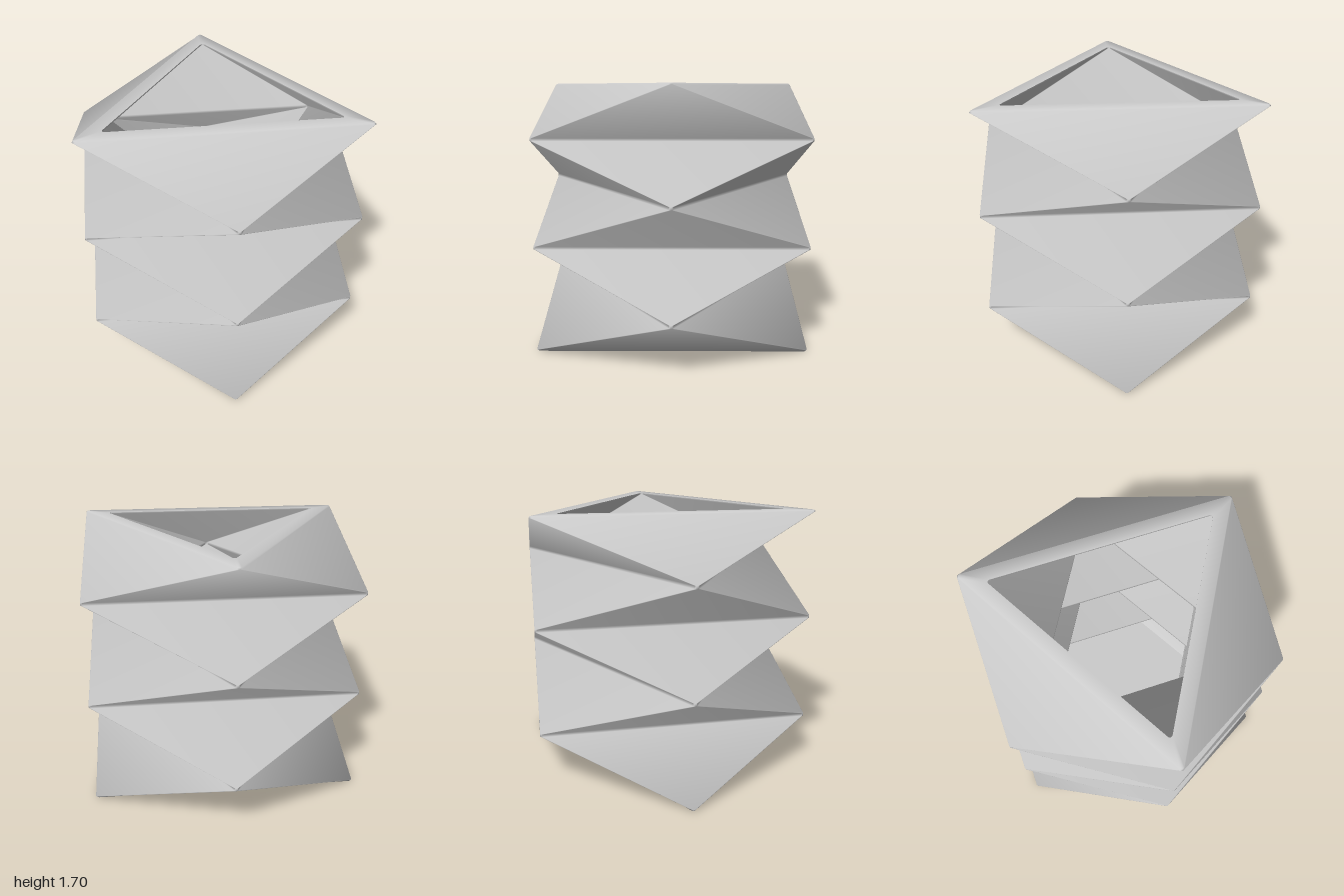
import * as THREE from 'three';

const LAYERS = 5, HEIGHT = 1.695, STEP = HEIGHT / LAYERS;
const FLOOR = 0.1, ARC = 3, ROUND = 0.016, BEVEL = 0.009;
const OUTER = 1, INNER = 0.81;

// Rounded triangle at height y. Odd levels are turned by 60 degrees, and the
// points are listed by outward direction so that all levels match one to one.
function section(level, radius, y) {
  const points = [];
  const turn = (level % 2) * Math.PI / 3, third = Math.PI * 2 / 3;
  for (let sector = 0; sector < 6; sector++) {
    const middle = (sector + 0.5) * Math.PI / 3;
    const corner = Math.round((middle - turn) / third) * third + turn;
    for (let i = 0; i <= ARC; i++) {
      const a = (sector + i / ARC) * Math.PI / 3;
      points.push(new THREE.Vector3(
        (radius - ROUND) * Math.cos(corner) + ROUND * Math.cos(a),
        y,
        -(radius - ROUND) * Math.sin(corner) - ROUND * Math.sin(a)));
    }
  }
  return points;
}

// Two rings close together at every fold, so that the folds are softly blunted
function foldedRings(radius) {
  const rings = [];
  for (let level = 0; level <= LAYERS; level++) {
    const y = level * STEP;
    if (level > 0) rings.push(section(level, radius, y - BEVEL));
    if (level < LAYERS) rings.push(section(level, radius, y + BEVEL));
  }
  return rings;
}

// Smooth surface through successive rings, its normals weighted by corner angle
function skin(name, rings) {
  const corners = [], sums = new Map();
  const key = (p) => `${Math.round(p.x * 1e4)},${Math.round(p.y * 1e4)},${Math.round(p.z * 1e4)}`;
  const face = (...tri) => {
    const triangle = new THREE.Triangle(...tri);
    if (triangle.getArea() < 1e-8) return;
    const normal = triangle.getNormal(new THREE.Vector3());
    tri.forEach((p, i) => {
      const toNext = tri[(i + 1) % 3].clone().sub(p);
      const toLast = tri[(i + 2) % 3].clone().sub(p);
      const k = key(p);
      if (!sums.has(k)) sums.set(k, new THREE.Vector3());
      sums.get(k).addScaledVector(normal, toNext.angleTo(toLast));
      corners.push(p);
    });
  };
  for (let r = 0; r + 1 < rings.length; r++) {
    const low = rings[r], high = rings[r + 1], n = low.length;
    for (let i = 0; i < n; i++) {
      const j = (i + 1) % n;
      face(low[i], low[j], high[j]);
      face(low[i], high[j], high[i]);
    }
  }
  const geometry = new THREE.BufferGeometry().setFromPoints(corners);
  const normals = corners.flatMap((p) => sums.get(key(p)).clone().normalize().toArray());
  geometry.setAttribute('normal', new THREE.Float32BufferAttribute(normals, 3));
  const mesh = new THREE.Mesh(geometry, new THREE.MeshStandardMaterial({ color: 0xcccccc }));
  mesh.name = name;
  return mesh;
}

const centre = (ring) => ring.map((p) => new THREE.Vector3(0, p.y, 0));

export function createModel() {
  const group = new THREE.Group();
  group.name = 'foldedVase';

  // Bevelled foot and lip close the outer wall; the lip runs in to the opening
  const foot = section(0, OUTER - BEVEL, 0);
  const lip = section(LAYERS, OUTER - BEVEL, HEIGHT);
  const opening = section(LAYERS, INNER, HEIGHT);

  // The cavity starts part-way up the lowest layer
  const inner = foldedRings(INNER);
  inner[0] = inner[0].map((p, i) => p.clone().lerp(inner[1][i], FLOOR / STEP));

  group.add(
    skin('outerWallAndRim', [centre(foot), foot, ...foldedRings(OUTER), lip, opening]),
    skin('innerWall', [opening, ...inner.reverse()]),
    skin('cavityFloor', [inner.at(-1), centre(inner.at(-1))]));
  return group;
}
